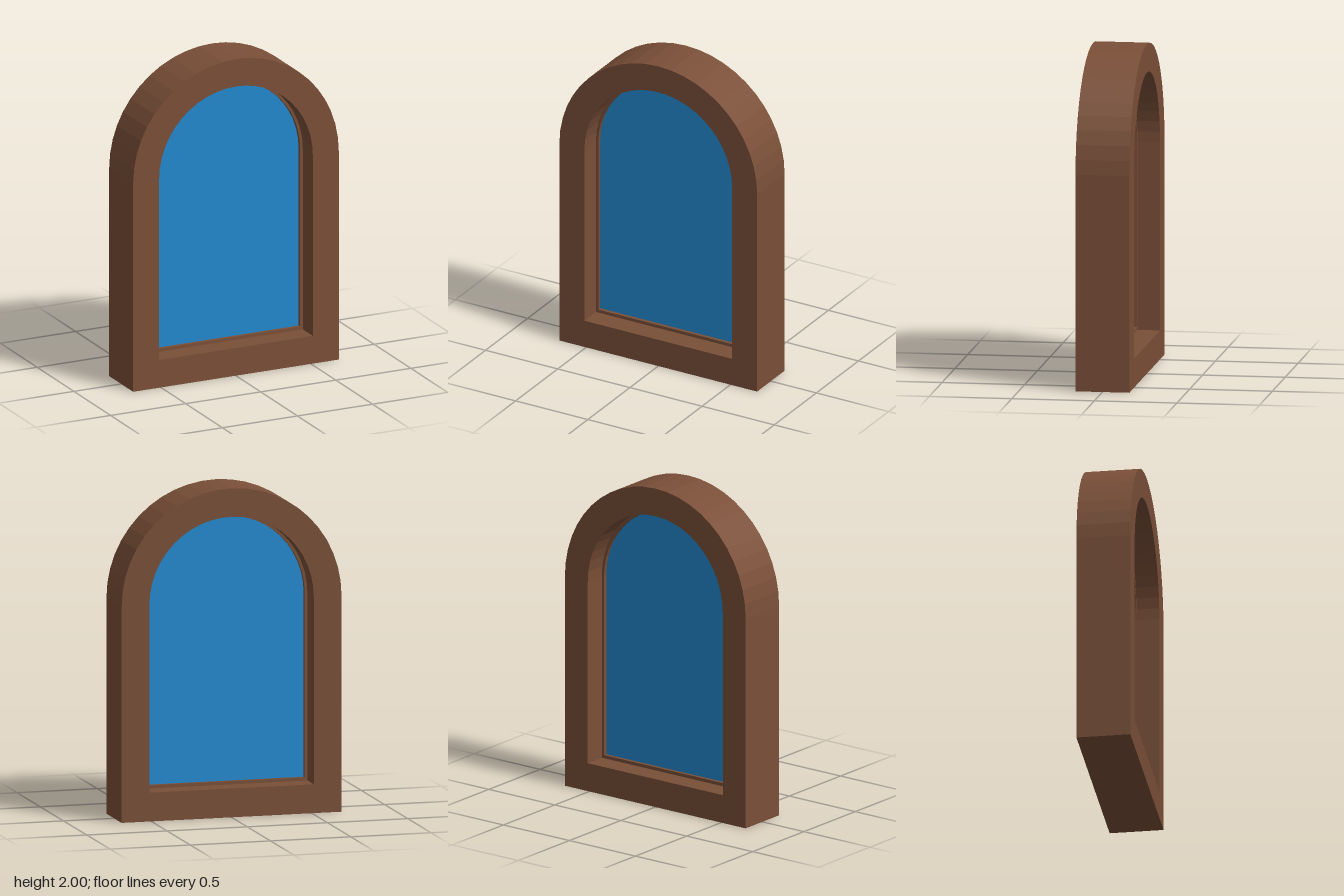
import * as THREE from 'three';

const SPRING = 1.315; // height where the arch begins

// Round-headed outline: straight sides topped by a half circle
function archPath(PathType, halfWidth, bottom) {
  const p = new PathType();
  p.moveTo(-halfWidth, bottom);
  p.lineTo(halfWidth, bottom);
  p.lineTo(halfWidth, SPRING);
  p.absarc(0, SPRING, halfWidth, 0, Math.PI, false);
  p.closePath();
  return p;
}

// Arch slab centred on z = 0, optionally with an arched opening
function archSlab(name, material, depth, outer, inner) {
  const shape = archPath(THREE.Shape, ...outer);
  if (inner) shape.holes.push(archPath(THREE.Path, ...inner));
  const geometry = new THREE.ExtrudeGeometry(shape, {
    depth, bevelEnabled: false, curveSegments: 12,
  });
  geometry.translate(0, 0, -depth / 2);
  const mesh = new THREE.Mesh(geometry, material);
  mesh.name = name;
  return mesh;
}

export function createModel() {
  const wood = new THREE.MeshStandardMaterial({ color: 0x7a4f38 });
  wood.name = 'brown wood';
  const glass = new THREE.MeshStandardMaterial({ color: 0x2389d0 });
  glass.name = 'blue glass';

  const group = new THREE.Group();
  group.name = 'archedWindow';
  group.add(
    // Deep outer frame
    archSlab('frame', wood, 0.326, [0.685, 0], [0.512, 0.175]),
    // Narrow bead holding the pane, let slightly into the frame
    archSlab('glazingBead', wood, 0.052, [0.522, 0.165], [0.495, 0.195]),
    // Thin pane, its edge hidden in the bead
    archSlab('pane', glass, 0.008, [0.503, 0.187]),
  );
  return group;
}
